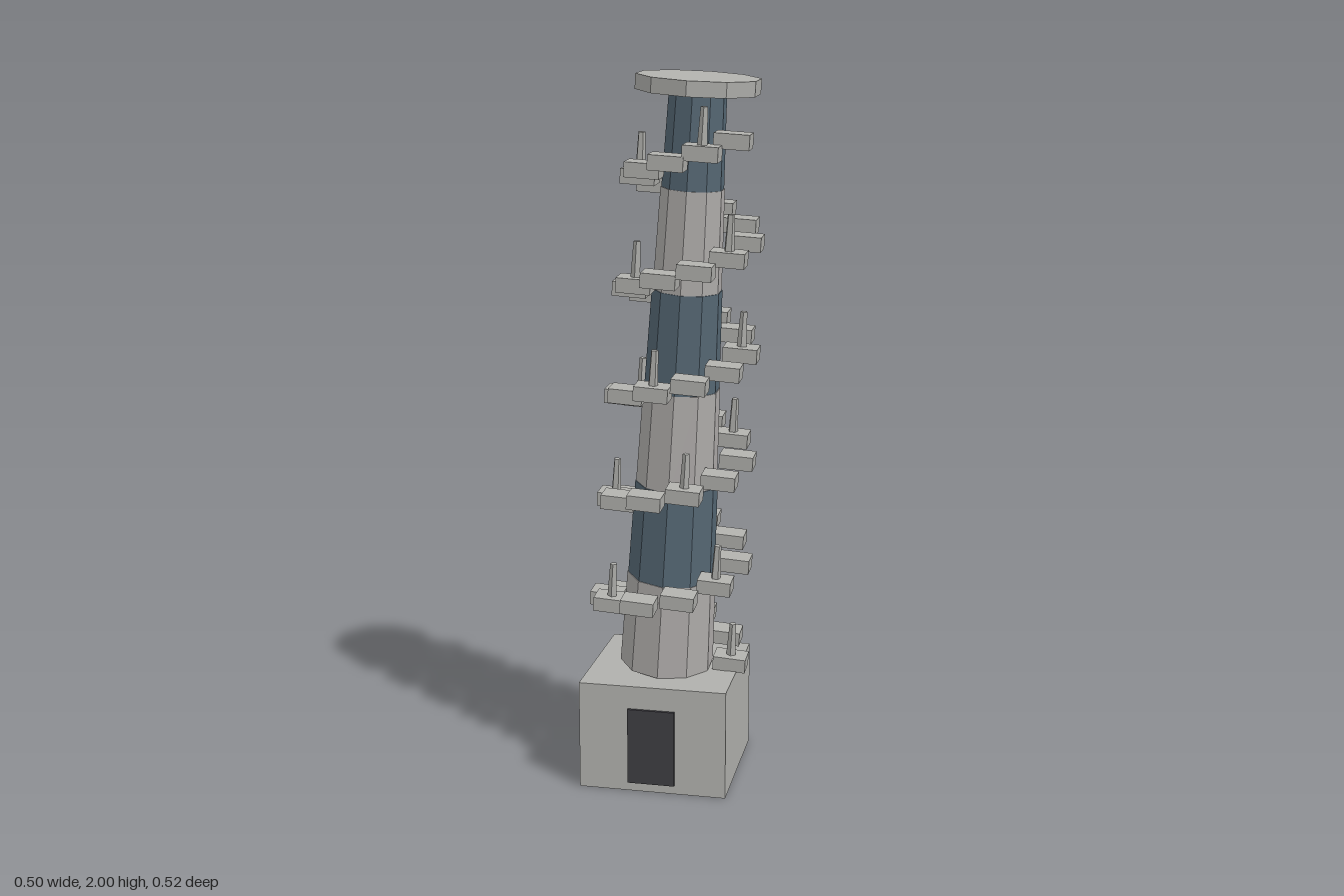
import * as THREE from 'three';

const mat = (name, color) => {
  const m = new THREE.MeshStandardMaterial({ color });
  m.name = name;
  return m;
};

export function createModel() {
  const stone = mat('pale stone', 0xb0b0ac);
  const wall = mat('tower stone', 0xb1aeac);
  const slate = mat('slate blue', 0x566875);
  const dark = mat('door charcoal', 0x3e3d42);

  const add = (parent, name, geometry, material, x, y, z) => {
    // flat facets on every part
    const flat = geometry.toNonIndexed();
    flat.computeVertexNormals();
    const mesh = new THREE.Mesh(flat, material);
    mesh.name = name;
    mesh.position.set(x, y, z);
    parent.add(mesh);
    return mesh;
  };

  const model = new THREE.Group();
  model.name = 'leaningTower';

  // square base and its door
  add(model, 'base', new THREE.BoxGeometry(0.42, 0.312, 0.42), stone, -0.032, 0.156, -0.05);
  add(model, 'door', new THREE.BoxGeometry(0.134, 0.22, 0.009), dark, -0.034, 0.136, 0.1635);

  // everything above the base leans to the left and forward
  const tower = new THREE.Group();
  tower.name = 'tower';
  tower.position.set(-0.032, 0.325, -0.047);
  tower.rotation.set(0.085, 0, -0.07);
  model.add(tower);

  // six tapering ten-sided drums in alternating colours
  const drumH = 0.275;
  for (let i = 0; i < 6; i++) {
    const r = 0.135 - 0.0102 * i;
    add(tower, 'drum', new THREE.CylinderGeometry(r - 0.008, r, drumH, 10),
      i % 2 ? slate : wall, 0, (i + 0.5) * drumH, 0);
  }

  // flat roof disc
  add(tower, 'roof', new THREE.CylinderGeometry(0.166, 0.166, 0.04, 10), stone, 0, 1.645, 0);

  // spiral stair: ten steps per turn, a post on every third step
  const stepGeo = new THREE.BoxGeometry(0.094, 0.04, 0.066);
  const postGeo = new THREE.CylinderGeometry(0.01, 0.014, 0.1, 5);
  for (let i = 0; i < 50; i++) {
    const a = i * Math.PI / 5;
    const r = 0.187 - 0.00093 * i;
    const x = r * Math.cos(a), z = -r * Math.sin(a), y = 0.022 + 0.0305 * i;
    add(tower, 'step', stepGeo, stone, x, y, z);
    if (i % 3 === 0) add(tower, 'post', postGeo, stone, x, y + 0.066, z).rotation.y = a;
  }

  return model;
}
